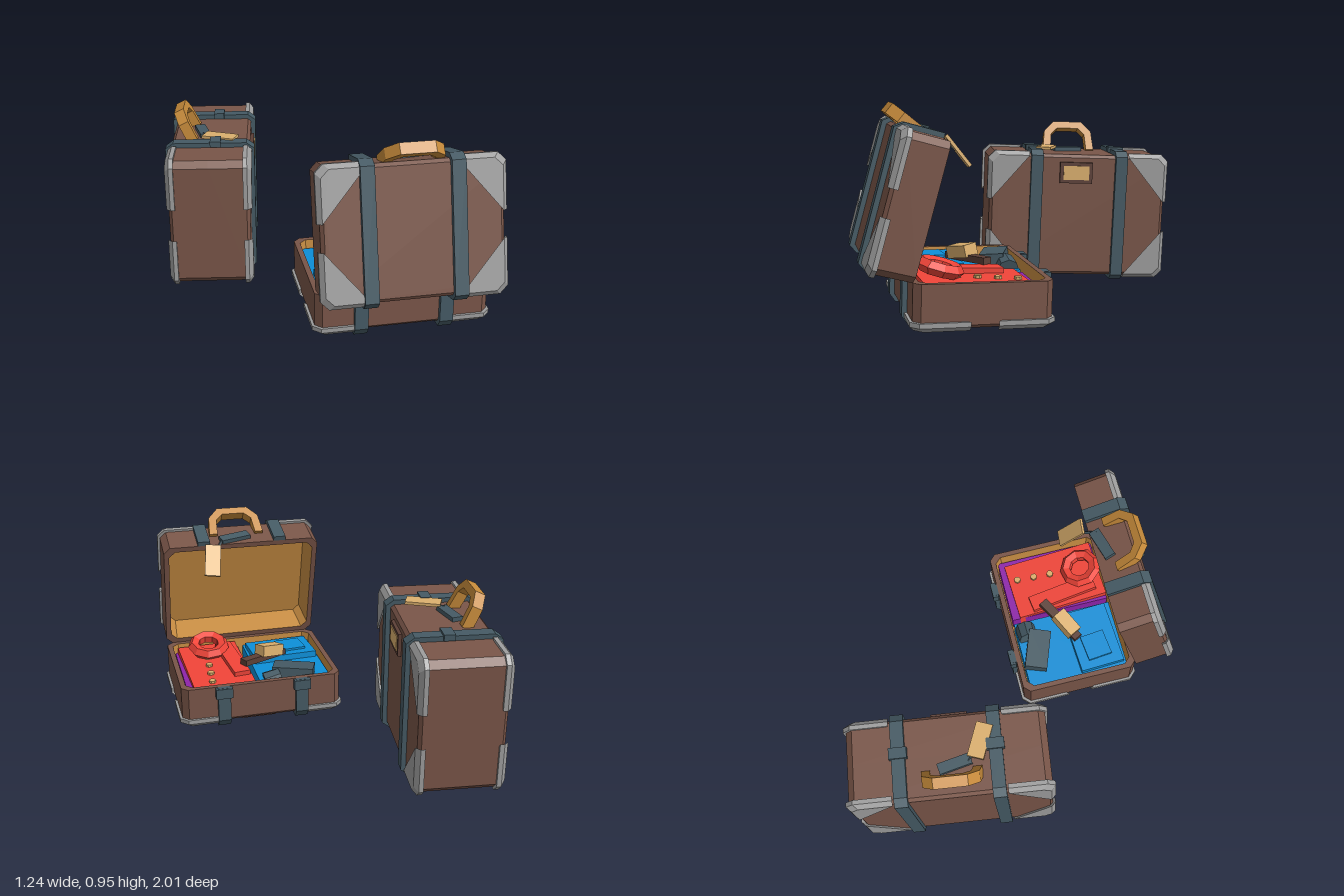
import * as THREE from 'three';

const mat = (color) => new THREE.MeshStandardMaterial({ color, flatShading: true, side: THREE.DoubleSide });
const M = {
  leather: mat(0x795548), strap: mat(0x455a64), metal: mat(0x9e9e9e), handle: mat(0xc68a3a),
  lining: mat(0xc68c42), paper: mat(0xdcb06e), dark: mat(0x5d4037), blue: mat(0x0d8fd8),
  red: mat(0xf04438), purple: mat(0x8e24aa),
};

function add(parent, name, geometry, material, pos = [0, 0, 0], rot = [0, 0, 0]) {
  const mesh = new THREE.Mesh(geometry, material);
  mesh.name = name;
  mesh.position.set(...pos);
  mesh.rotation.set(...rot);
  parent.add(mesh);
}
const box = (w, h, d) => new THREE.BoxGeometry(w, h, d);

// Skin a stack of rings, each counter-clockwise seen from above
function loft(rings, capStart, capEnd) {
  const p = [];
  const tri = (a, b, c) => p.push(...a, ...b, ...c);
  const n = rings[0].length;
  for (let k = 0; k + 1 < rings.length; k++) {
    const a = rings[k], b = rings[k + 1];
    for (let i = 0; i < n; i++) {
      const j = (i + 1) % n;
      tri(a[i], a[j], b[j]);
      tri(a[i], b[j], b[i]);
    }
  }
  const first = rings[0], last = rings[rings.length - 1];
  for (let i = 1; i + 1 < n; i++) {
    if (capStart) tri(first[0], first[i + 1], first[i]);
    if (capEnd) tri(last[0], last[i], last[i + 1]);
  }
  const g = new THREE.BufferGeometry();
  g.setAttribute('position', new THREE.Float32BufferAttribute(p, 3));
  g.computeVertexNormals();
  return g;
}

// Rectangle with cut corners at height y
function ring(L, D, y, c = 0.03) {
  const x = L / 2, z = D / 2;
  return [[x - c, y, z], [x, y, z - c], [x, y, c - z], [x - c, y, -z],
    [c - x, y, -z], [-x, y, c - z], [-x, y, z - c], [c - x, y, z]];
}

// Strap running over the hinge side, the broad face and the handle side
function strapGeometry(D, T, width) {
  const o = 0.022, z = D / 2;
  const s = new THREE.Shape([[z, 0], [z + o, 0], [z + o, -T + 0.015], [z - 0.005, -T - o],
    [0.005 - z, -T - o], [-z - o, -T + 0.015], [-z - o, 0], [-z, 0],
    [-z, -T + 0.015], [0.015 - z, -T], [z - 0.015, -T], [z, -T + 0.015]]
    .map(([x, y]) => new THREE.Vector2(x, y)));
  const g = new THREE.ExtrudeGeometry(s, { depth: width, bevelEnabled: false });
  return g.translate(0, 0, -width / 2).rotateY(-Math.PI / 2);
}

// Triangular metal corner protector wrapping a little over the edge
function cornerGeometry(L, D, T, sx, sz) {
  const a = 0.195, b = 0.23, c = 0.035;
  const section = (grow, y) => {
    const x = L / 2 + grow, z = D / 2 + grow;
    const pts = [[L / 2 - a, z], [x - c, z], [x, z - c], [x, D / 2 - b]]
      .map(([px, pz]) => [px * sx, y, pz * sz]);
    return sx * sz < 0 ? pts.reverse() : pts;
  };
  return loft([section(-0.008, -T - 0.01), section(0.012, -T + 0.01), section(0.012, -T + 0.03)], true, true);
}

// One hollow half: rim at y = 0, broad face at y = -T, hinge at +z
function makeHalf(L, D, T, strapX) {
  const half = new THREE.Group();
  const wall = 0.05;
  add(half, 'shell', loft([
    ring(L - 0.03, D - 0.03, -T), ring(L, D, -T + 0.015), ring(L, D, 0), ring(L - wall, D - wall, 0),
  ], true, false), M.leather);
  add(half, 'lining', loft([
    ring(L - wall, D - wall, 0), ring(L - wall - 0.02, D - wall - 0.02, -T + 0.04),
  ], false, true), M.lining);
  for (const s of [-1, 1]) {
    add(half, 'strap', strapGeometry(D, T, 0.06), M.strap, [s * strapX, 0, 0]);
    for (const t of [-1, 1]) add(half, 'cornerCap', cornerGeometry(L, D, T, s, t), M.metal);
  }
  return half;
}

// Arched handle rising towards -z
function handleGeometry() {
  const s = new THREE.Shape([[-0.135, 0], [-0.125, 0.1], [-0.075, 0.155], [0.075, 0.155], [0.125, 0.1], [0.135, 0],
    [0.095, 0], [0.088, 0.085], [0.055, 0.118], [-0.055, 0.118], [-0.088, 0.085], [-0.095, 0]]
    .map(([x, y]) => new THREE.Vector2(x, y)));
  const g = new THREE.ExtrudeGeometry(s, { depth: 0.05, bevelEnabled: false });
  return g.translate(0, 0, -0.025).rotateX(-Math.PI / 2);
}

function makeCase({ L, D, T, strapX, angle, tilt, tagPos, tagRot }) {
  const suitcase = new THREE.Group();
  const base = makeHalf(L, D, T, strapX);
  base.name = 'base';
  suitcase.add(base);

  // Name plate on the broad face, near the handle side
  add(base, 'plateFrame', box(0.165, 0.024, 0.105), M.dark, [0.015, -T - 0.004, -D / 2 + 0.09]);
  add(base, 'plateCard', box(0.13, 0.024, 0.07), M.paper, [0.015, -T - 0.008, -D / 2 + 0.09]);

  // Buckles where the straps close
  for (const s of [-1, 1]) {
    add(base, 'buckle', box(0.08, 0.05, 0.028), M.strap, [s * strapX, -0.026, -D / 2 - 0.018]);
  }

  // Lid turns on the hinge edge
  const pivot = new THREE.Group();
  pivot.name = 'lid';
  pivot.position.z = D / 2;
  pivot.rotation.x = angle;
  suitcase.add(pivot);
  const lid = new THREE.Group();
  lid.position.z = -D / 2;
  pivot.add(lid);
  const lidHalf = makeHalf(L, D, T, strapX);
  lidHalf.rotation.z = Math.PI;
  lid.add(lidHalf);

  // Handle, its mount and the luggage tag
  add(lid, 'handle', handleGeometry(), M.handle, [0.015, 0.085, -D / 2 + 0.005], [tilt, 0, 0]);
  add(lid, 'handleMount', box(0.15, 0.05, 0.024), M.strap, [0.03, 0.045, -D / 2 - 0.008], [0, 0, -0.25]);
  const start = new THREE.Vector3(0.09, 0.04, -D / 2 - 0.015), end = new THREE.Vector3(...tagPos);
  add(lid, 'tagCord', new THREE.TubeGeometry(new THREE.LineCurve3(start, end), 1, 0.007, 4), M.strap);
  add(lid, 'tag', box(0.075, 0.014, 0.16), M.paper, tagPos, tagRot);
  return suitcase;
}

// Folded clothes and small things inside the open case
function makeContents() {
  const g = new THREE.Group();
  g.name = 'contents';
  add(g, 'purpleCloth', box(0.33, 0.09, 0.5), M.purple, [0.185, -0.09, 0]);
  add(g, 'blueTrousers', box(0.35, 0.1, 0.5), M.blue, [-0.18, -0.09, 0]);
  add(g, 'blueFold', box(0.32, 0.035, 0.22), M.blue, [-0.18, -0.03, 0.12], [0.03, 0.05, 0]);
  add(g, 'bluePocket', box(0.13, 0.02, 0.12), M.blue, [-0.23, -0.01, 0.12], [0, 0.1, 0]);
  add(g, 'redShirt', box(0.3, 0.1, 0.46), M.red, [0.178, -0.07, 0.015], [-0.04, 0.04, 0]);
  add(g, 'shirtSleeve', box(0.08, 0.03, 0.34), M.red, [0.09, -0.01, 0.03], [-0.05, 0.12, 0]);
  add(g, 'shirtCollar', new THREE.TorusGeometry(0.075, 0.03, 5, 9), M.red, [0.19, 0.025, 0.15], [Math.PI / 2 - 0.25, 0, 0]);
  for (let i = 0; i < 4; i++) {
    add(g, 'button', new THREE.CylinderGeometry(0.017, 0.017, 0.012, 7), M.paper,
      [0.225 - i * 0.006, -0.021 + i * 0.004, -0.175 + i * 0.085]);
  }
  // Camera with its lens
  add(g, 'cameraBody', box(0.2, 0.08, 0.11), M.strap, [-0.18, -0.025, -0.17], [0.1, -0.35, 0.05]);
  add(g, 'cameraLens', new THREE.CylinderGeometry(0.045, 0.05, 0.08, 8), M.strap, [-0.07, -0.035, -0.2], [0, 0, 1.3]);
  // Brush
  add(g, 'brushHandle', box(0.26, 0.03, 0.045), M.dark, [-0.06, 0.01, -0.02], [0, 0.5, 0.05]);
  add(g, 'brushHead', box(0.13, 0.055, 0.07), M.paper, [-0.095, 0.035, 0.0], [0.15, 0.5, 0.12]);
  return g;
}

export function createModel() {
  const model = new THREE.Group();
  model.name = 'suitcases';

  // Closed case standing on its hinge edge
  const closed = makeCase({
    L: 0.895, D: 0.615, T: 0.188, strapX: 0.215, angle: 0, tilt: 0.45,
    tagPos: [0.15, -0.045, -0.33], tagRot: [Math.PI / 2, 0.35, 0],
  });
  closed.name = 'closedSuitcase';
  const u = new THREE.Vector3(-0.53, 0.04, 0.848).normalize();
  const side = new THREE.Vector3(-0.848, 0, -0.53).normalize();
  const down = new THREE.Vector3().crossVectors(u, side);
  closed.quaternion.setFromRotationMatrix(new THREE.Matrix4().makeBasis(u, side, down));
  closed.position.set(-0.22, 0.348, -0.5);
  model.add(closed);

  // Open case lying on its broad face
  const open = makeCase({
    L: 0.775, D: 0.575, T: 0.185, strapX: 0.19, angle: 1.33, tilt: 1.15,
    tagPos: [0.16, -0.08, -0.25], tagRot: [0.92, 0.15, 0],
  });
  open.name = 'openSuitcase';
  open.rotation.set(-0.035, -0.417, 0, 'YXZ');
  open.position.set(0.147, 0.257, 0.443);
  open.add(makeContents());
  model.add(open);
  return model;
}
